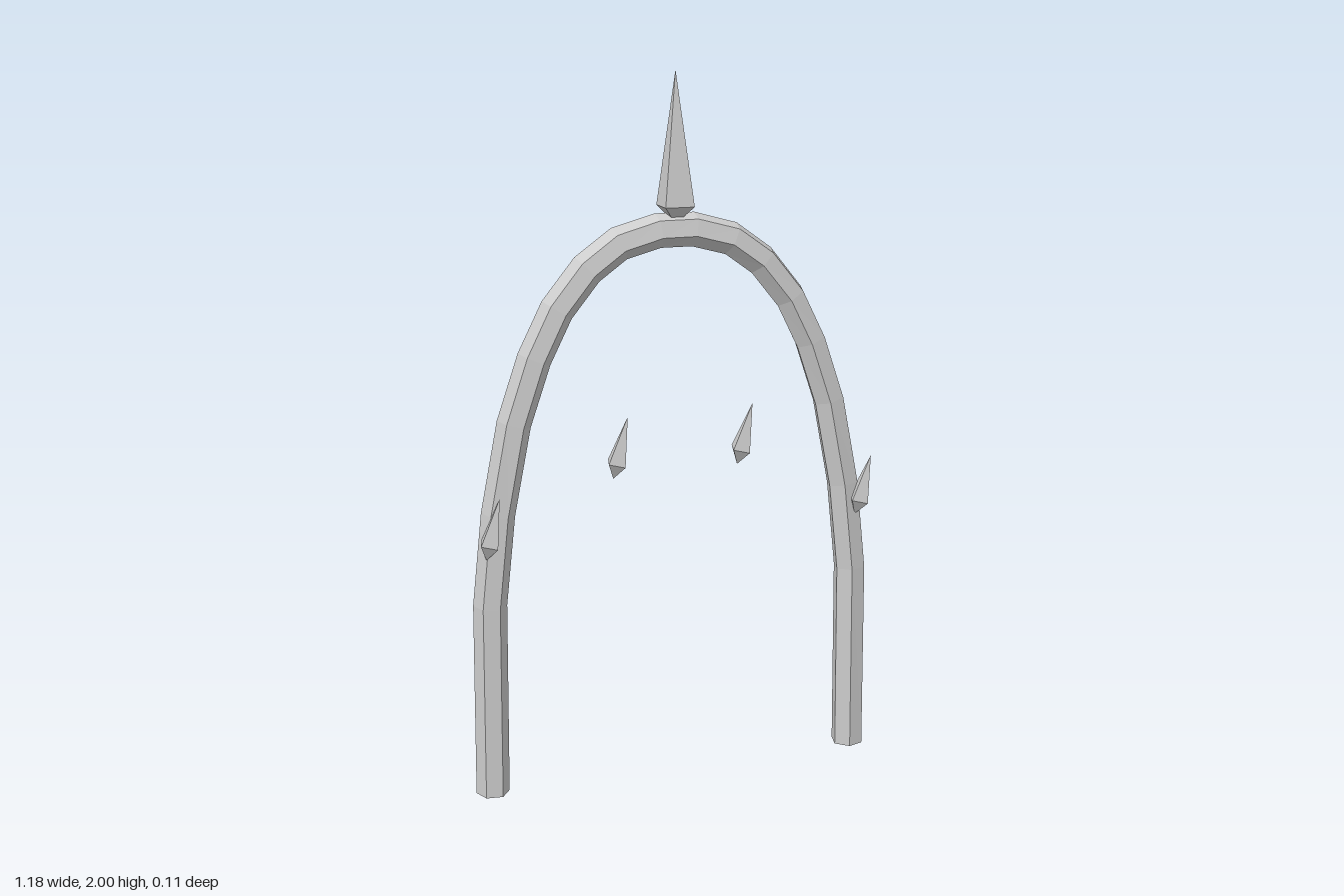
import * as THREE from 'three';

const grey = new THREE.MeshStandardMaterial({ color: 0xcccccc, flatShading: true });
grey.name = 'grey';

// Hexagonal bar swept along an arch, twisting slightly from left foot to right foot
function archGeometry() {
  const half = [[0.546, 0], [0.539, 0.56], [0.51, 0.82], [0.46, 1.07], [0.4, 1.245],
    [0.335, 1.375], [0.25, 1.48], [0.16, 1.545], [0.05, 1.575]];
  const path = [...half.map(([x, y]) => [-x, y]), ...half.slice().reverse()];
  const sides = 6, radius = 0.047, last = path.length - 1;
  const positions = [], indices = [];

  path.forEach(([x, y], i) => {
    const a = path[Math.max(i - 1, 0)], b = path[Math.min(i + 1, last)];
    const t = new THREE.Vector2(b[0] - a[0], b[1] - a[1]).normalize();
    if (i === 0) t.set(0, 1);
    if (i === last) t.set(0, -1);
    const twist = THREE.MathUtils.degToRad(-6 - 12 * i / last);
    for (let j = 0; j < sides; j++) {
      const angle = twist + j * Math.PI * 2 / sides;
      const out = Math.cos(angle) * radius;
      positions.push(x - t.y * out, y + t.x * out, -0.01 + Math.sin(angle) * radius);
    }
  });
  for (let i = 0; i < last; i++) {
    for (let j = 0; j < sides; j++) {
      const k = (j + 1) % sides, p = i * sides, q = p + sides;
      indices.push(p + j, p + k, q + j, p + k, q + k, q + j);
    }
  }
  // Flat feet
  for (let j = 1; j < sides - 1; j++) {
    const e = last * sides;
    indices.push(0, j + 1, j, e, e + j, e + j + 1);
  }
  const geometry = new THREE.BufferGeometry();
  geometry.setAttribute('position', new THREE.Float32BufferAttribute(positions, 3));
  geometry.setIndex(indices);
  geometry.computeVertexNormals();
  return geometry;
}

// Four-sided spike: short point below, long point above, origin at its widest level
function spike(name, radius, below, above, turn) {
  const profile = [[0, -below], [radius, 0], [0, above]].map(([r, y]) => new THREE.Vector2(r, y));
  const mesh = new THREE.Mesh(new THREE.LatheGeometry(profile, 4, turn), grey);
  mesh.name = name;
  return mesh;
}

export function createModel() {
  const model = new THREE.Group();
  model.name = 'spikedArch';

  const arch = new THREE.Mesh(archGeometry(), grey);
  arch.name = 'arch';
  model.add(arch);

  // Tall spike on the crown
  const crown = spike('crownSpike', 0.058, 0.05, 0.36, Math.PI / 4);
  crown.position.set(0, 1.64, -0.01);
  model.add(crown);

  // Small leaning thorns, two on the legs and two within the opening
  const thorns = [
    ['rightLegThorn', -0.544, 0.747],
    ['rightInnerThorn', -0.183, 0.945],
    ['leftInnerThorn', 0.18, 0.955],
    ['leftLegThorn', 0.546, 0.772],
  ];
  for (const [name, x, y] of thorns) {
    const thorn = spike(name, 0.033, 0.045, 0.138, 0.55);
    thorn.position.set(x, y, 0.029);
    thorn.rotation.set(0.12, 0, -0.2);
    model.add(thorn);
  }
  return model;
}
